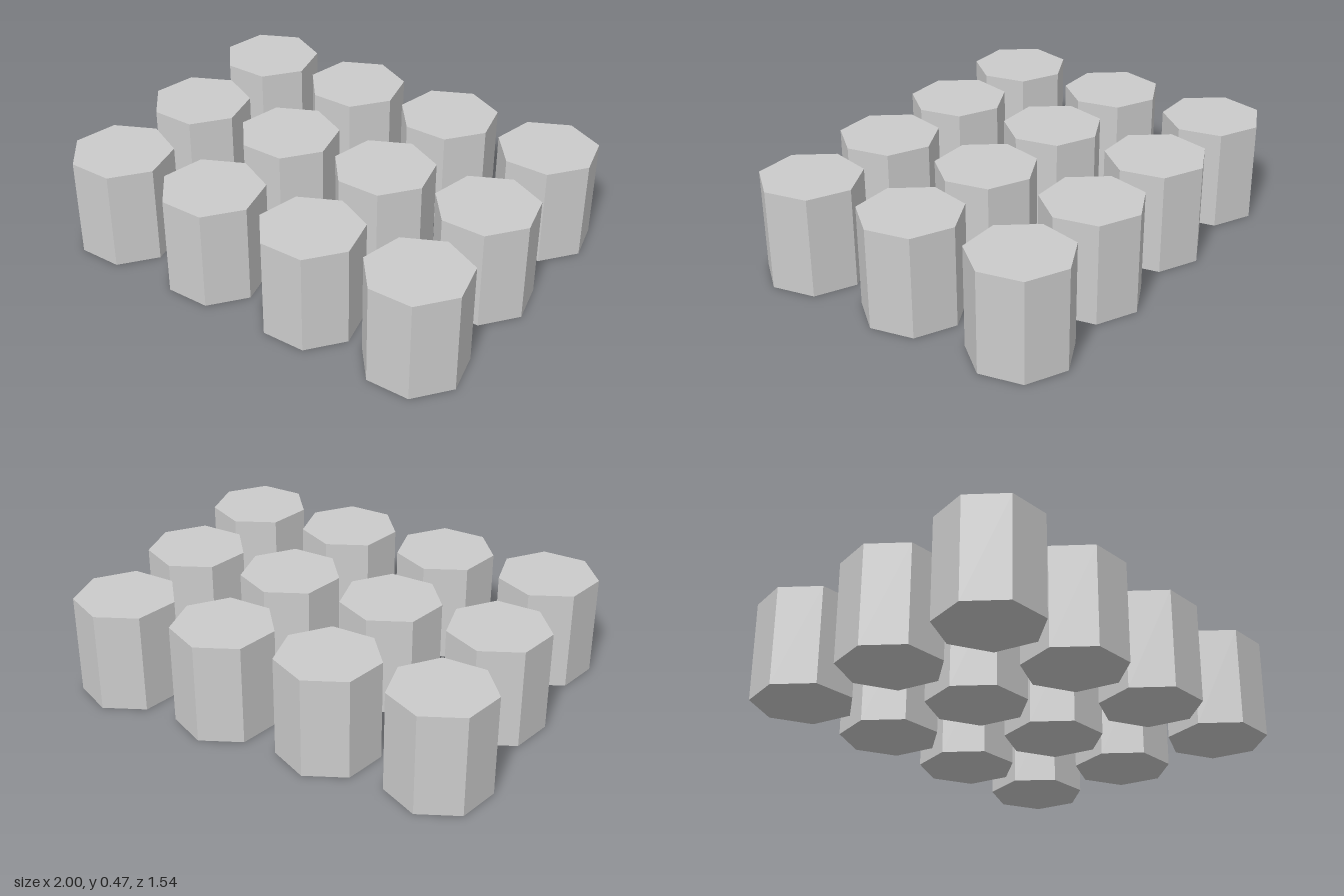
import * as THREE from 'three';

export function createModel() {
  const group = new THREE.Group();
  group.name = 'columnGrid';

  const radius = 0.2308, height = 0.465;
  const stepX = 0.5167, stepZ = 0.5525, midZ = 0.0114;

  // Seven-sided prism with one corner pointing to the back
  const geometry = new THREE.CylinderGeometry(radius, radius, height, 7, 1, false, Math.PI);
  geometry.translate(0, height / 2, 0);
  const material = new THREE.MeshStandardMaterial({ color: 0xcccccc, flatShading: true });

  // Three rows of four columns
  for (let row = 0; row < 3; row++) {
    for (let col = 0; col < 4; col++) {
      const column = new THREE.Mesh(geometry, material);
      column.name = `column_${row + 1}_${col + 1}`;
      column.position.set((col - 1.5) * stepX, 0, midZ + (row - 1) * stepZ);
      group.add(column);
    }
  }
  return group;
}
